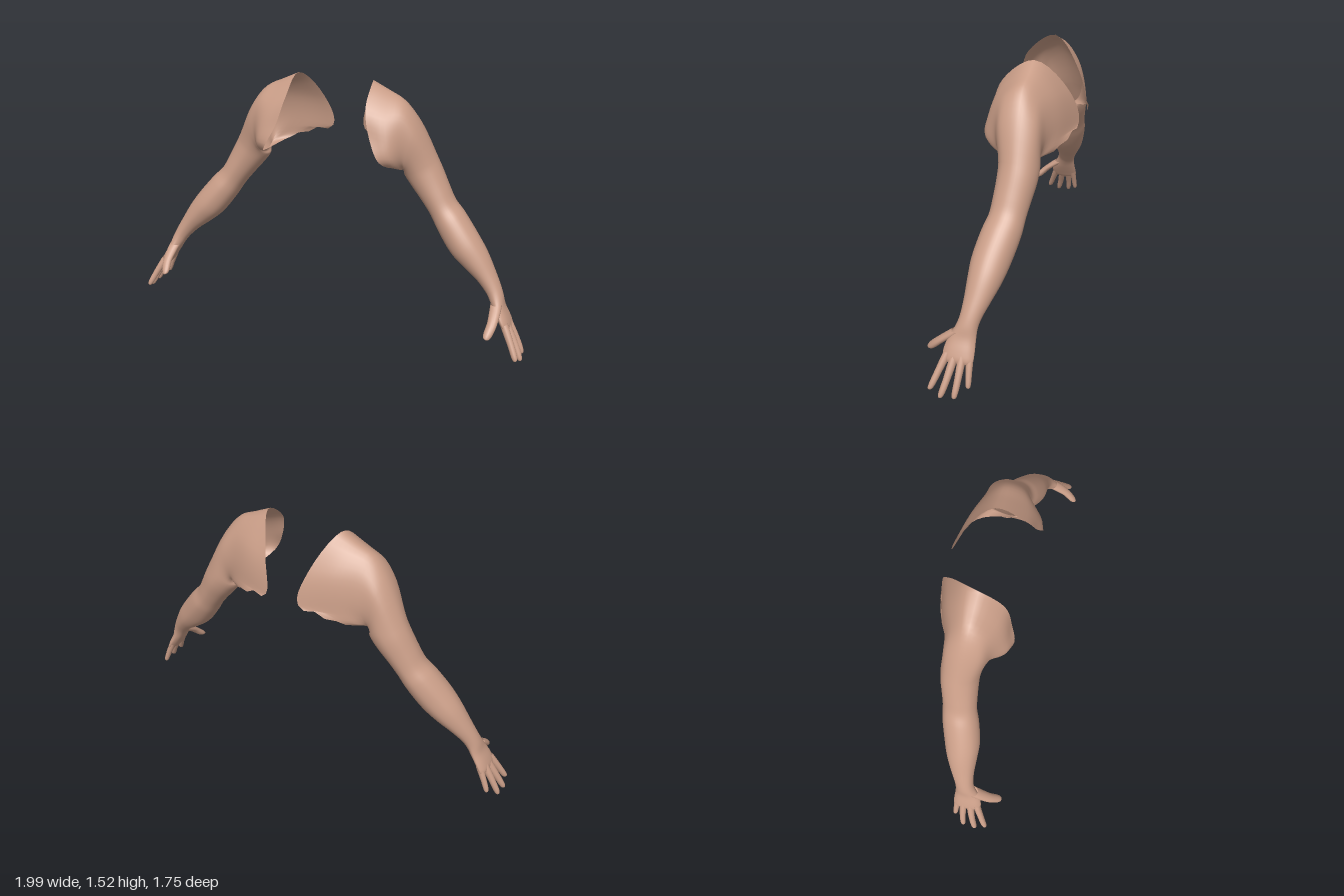
import * as THREE from 'three';

const skin = new THREE.MeshStandardMaterial({ color: 0xc99d87, side: THREE.DoubleSide });
skin.name = 'skin';

const V = (p) => new THREE.Vector3(...p);

// Eight points round a limb: outer side, front, inner side, back.
function ellipseRings(path) {
  return path.map(([x, y, z, rn, rf], i) => {
    const a = path[Math.max(i - 1, 0)], b = path[Math.min(i + 1, path.length - 1)];
    const n = new THREE.Vector3(a[1] - b[1], b[0] - a[0], 0).normalize();
    return Array.from({ length: 8 }, (_, k) => {
      const t = (k * Math.PI) / 4;
      return new THREE.Vector3(x, y, z + rf * Math.sin(t)).addScaledVector(n, rn * Math.cos(t));
    });
  });
}

// Smooth skin through rings of eight points; side is +1 for left, -1 for right.
function loft(name, rings, side, around, steps, edit) {
  const dense = rings.map((r) => {
    const curve = new THREE.CatmullRomCurve3(r, true);
    return Array.from({ length: around }, (_, j) => curve.getPoint(j / around));
  });
  if (edit) edit(dense);
  const rows = (rings.length - 1) * steps;
  const columns = dense[0].map((_, j) => new THREE.CatmullRomCurve3(dense.map((r) => r[j])));
  const pos = [], index = [];
  for (let i = 0; i <= rows; i++) {
    for (let j = 0; j < around; j++) {
      const p = columns[j].getPoint(i / rows);
      pos.push(p.x * side, p.y, p.z);
      if (i === rows) continue;
      const a = i * around + j, b = i * around + ((j + 1) % around);
      const c = a + around, d = b + around;
      if (side > 0) index.push(a, b, c, b, d, c);
      else index.push(a, c, b, b, c, d);
    }
  }
  const g = new THREE.BufferGeometry();
  g.setAttribute('position', new THREE.Float32BufferAttribute(pos, 3));
  g.setIndex(index);
  g.computeVertexNormals();
  const mesh = new THREE.Mesh(g, skin);
  mesh.name = name;
  return mesh;
}

// Shoulder sections, from the open edge on the trunk out to the deltoid
const shoulder = [
  [[.235, 1.54, -.19], [.25, 1.42, -.02], [.29, 1.27, .03], [.36, 1.13, .05],
    [.43, 1.05, -.14], [.36, 1.075, -.34], [.105, 1.16, -.42], [.14, 1.36, -.36]],
  [[.33, 1.495, -.19], [.36, 1.39, -.04], [.39, 1.25, .02], [.42, 1.13, .02],
    [.445, 1.04, -.13], [.42, 1.07, -.3], [.29, 1.19, -.365], [.28, 1.37, -.325]],
  [[.43, 1.445, -.185], [.45, 1.38, -.08], [.46, 1.24, -.035], [.46, 1.11, -.05],
    [.45, 1.035, -.15], [.455, 1.06, -.27], [.42, 1.18, -.315], [.41, 1.36, -.28]],
  [[.525, 1.33, -.19], [.525, 1.28, -.09], [.5, 1.17, -.06], [.47, 1.07, -.08],
    [.452, 1.02, -.17], [.465, 1.04, -.27], [.48, 1.15, -.305], [.505, 1.28, -.28]],
].map((r) => r.map(V));

// Arm centre line: x, y, z, half depth, half width
const armPath = [
  [.54, 1.055, -.2, .112, .113], [.58, .99, -.2, .106, .11],
  [.64, .9, -.19, .093, .103], [.69, .825, -.18, .086, .1],
  [.745, .755, -.165, .095, .108], [.84, .635, -.138, .098, .106],
  [.915, .555, -.125, .084, .092], [.985, .475, -.108, .062, .072],
  [1.04, .4, -.088, .048, .058], [1.065, .355, -.075, .042, .06],
  [1.09, .3, -.06, .034, .074], [1.125, .24, -.052, .03, .085],
  [1.147, .2, -.052, .024, .082], [1.155, .185, -.052, .012, .07],
  [1.156, .183, -.052, .001, .01],
];

// Digits: base, middle, tip, base radius
const digits = {
  thumb: [[1.075, .335, -.03], [1.078, .255, .07], [1.06, .185, .135], .034],
  indexFinger: [[1.135, .23, .006], [1.19, .13, .045], [1.232, .045, .078], .023],
  middleFinger: [[1.14, .22, -.033], [1.205, .11, -.01], [1.25, .018, .015], .023],
  ringFinger: [[1.14, .225, -.075], [1.2, .12, -.07], [1.245, .025, -.06], .022],
  littleFinger: [[1.125, .235, -.113], [1.165, .145, -.118], [1.195, .068, -.122], .02],
};

function digit(name, [a, b, c, r], side) {
  const curve = new THREE.CatmullRomCurve3([a, b, c].map(V));
  const path = [[0, 1], [.25, .95], [.5, .85], [.75, .8], [.92, .66], [.98, .42], [1, .03]];
  const rings = path.map(([t, k]) => [...curve.getPoint(t).toArray(), r * k, r * k]);
  return loft(name, ellipseRings(rings), side, 16, 2);
}

function arm(side) {
  const group = new THREE.Group();
  group.name = side > 0 ? 'leftArm' : 'rightArm';
  group.add(loft('shoulderArmAndPalm', [...shoulder, ...ellipseRings(armPath)], side, 40, 4, (d) => {
    // Ragged lower corner of the back edge
    d[0][28].y += .035;
    d[0][27].y += .01;
    d[0][26].y += .015;
  }));
  for (const [name, data] of Object.entries(digits)) group.add(digit(name, data, side));
  return group;
}

export function createModel() {
  const model = new THREE.Group();
  model.name = 'pairOfArms';
  model.add(arm(1), arm(-1));
  // The pair faces diagonally
  model.rotation.y = -0.707;
  model.position.set(-.011, 0, -.005);
  return model;
}
